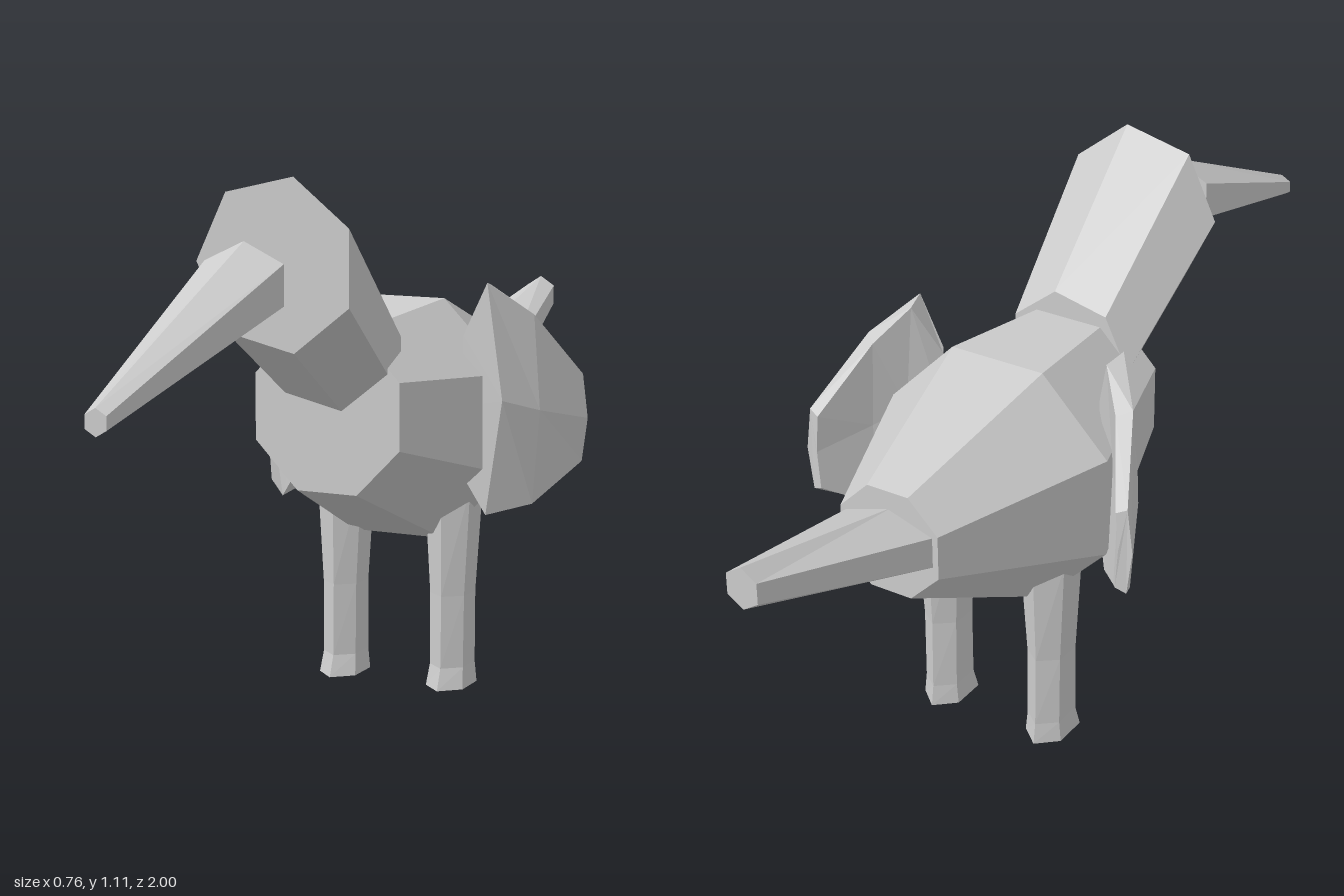
import * as THREE from 'three';

const grey = new THREE.MeshStandardMaterial({ color: 0xcccccc, flatShading: true });
grey.name = 'plain grey';

// Closed solid through rings of equal point count, with flat end caps
function loft(name, rings) {
  const tris = [];
  const n = rings[0].length;
  for (let i = 0; i < rings.length - 1; i++) {
    for (let j = 0; j < n; j++) {
      const k = (j + 1) % n;
      const a = rings[i][j], b = rings[i][k], c = rings[i + 1][k], d = rings[i + 1][j];
      tris.push([a, b, c], [a, c, d]);
    }
  }
  const first = rings[0], last = rings[rings.length - 1];
  for (let j = 1; j < n - 1; j++) {
    tris.push([first[0], first[j + 1], first[j]], [last[0], last[j], last[j + 1]]);
  }
  // Turn all faces outward, using the sign of the enclosed volume
  const volume = tris.reduce((s, [a, b, c]) => s + a.dot(b.clone().cross(c)), 0);
  const points = tris.flatMap(([a, b, c]) => (volume > 0 ? [a, b, c] : [a, c, b]));
  const geometry = new THREE.BufferGeometry().setFromPoints(points);
  geometry.computeVertexNormals();
  const mesh = new THREE.Mesh(geometry, grey);
  mesh.name = name;
  return mesh;
}

// Upright polygon facing z; start is the angle of its first corner
function ring(n, start, cy, z, rx, ry = rx) {
  return Array.from({ length: n }, (_, i) => {
    const t = start + (i / n) * Math.PI * 2;
    return new THREE.Vector3(Math.cos(t) * rx, cy + Math.sin(t) * ry, z);
  });
}

// Level hexagon with a corner to the front, for the legs
function levelHex(x, y, z, rx, rz) {
  return Array.from({ length: 6 }, (_, i) => {
    const t = (i / 6) * Math.PI * 2;
    return new THREE.Vector3(x + Math.sin(t) * rx, y, z + Math.cos(t) * rz);
  });
}

function leg(side) {
  const x = side * 0.126;
  return loft(side > 0 ? 'leftLeg' : 'rightLeg', [
    levelHex(x, 0, -0.198, 0.049, 0.075),
    levelHex(x, 0.045, -0.203, 0.044, 0.063),
    levelHex(x, 0.2, -0.203, 0.045, 0.06),
    levelHex(x, 0.43, -0.205, 0.06, 0.068),
  ]);
}

// Wing: columns from the front edge to the trailing edge, each
// [outer x, mid bulge, outer z, inner x, inner z, top y, bottom y]
function wing(side) {
  const columns = [
    [0.185, 0, -0.113, 0.183, -0.118, 0.76, 0.47],
    [0.235, 0.035, -0.118, 0.225, -0.165, 0.87, 0.39],
    [0.305, 0.015, -0.2, 0.28, -0.222, 0.8, 0.405],
    [0.367, 0.012, -0.322, 0.345, -0.328, 0.665, 0.48],
  ];
  const rings = columns.map(([ox, bulge, oz, ix, iz, top, bottom]) => {
    const mid = (top + bottom) / 2;
    return [
      [ox, top, oz], [ox + bulge, mid, oz], [ox, bottom, oz],
      [ix, bottom + 0.01, iz], [ix + bulge / 2, mid, iz], [ix, top - 0.01, iz],
    ].map(([x, y, z]) => new THREE.Vector3(side * x, y, z));
  });
  return loft(side > 0 ? 'leftWing' : 'rightWing', rings);
}

export function createModel() {
  const model = new THREE.Group();
  model.name = 'bird';

  // Eight-sided body, widest over the legs
  const eighth = Math.PI / 8, out = 1 / Math.cos(eighth);
  model.add(loft('body', [
    ring(8, eighth, 0.627, 0.14, 0.16 * out, 0.165 * out),
    ring(8, eighth, 0.568, -0.2, 0.25 * out, 0.255 * out),
    ring(8, eighth, 0.607, -0.572, 0.11 * out),
  ]));

  // Seven-sided neck and head, cut off flat at the front
  model.add(loft('neck', [
    ring(7, Math.PI, 0.715, 0.062, 0.14),
    ring(7, Math.PI, 0.94, 0.353, 0.172),
  ]));

  // Six-sided beak, standing clear of the head
  model.add(loft('beak', [
    ring(6, Math.PI / 2, 0.918, 0.478, 0.096, 0.078),
    ring(6, Math.PI / 2, 0.737, 1, 0.025),
  ]));

  // Six-sided tail
  model.add(loft('tail', [
    ring(6, Math.PI / 2, 0.612, -0.56, 0.115, 0.064),
    ring(6, Math.PI / 2, 0.742, -1, 0.038, 0.043),
  ]));

  for (const side of [1, -1]) model.add(wing(side), leg(side));
  return model;
}
